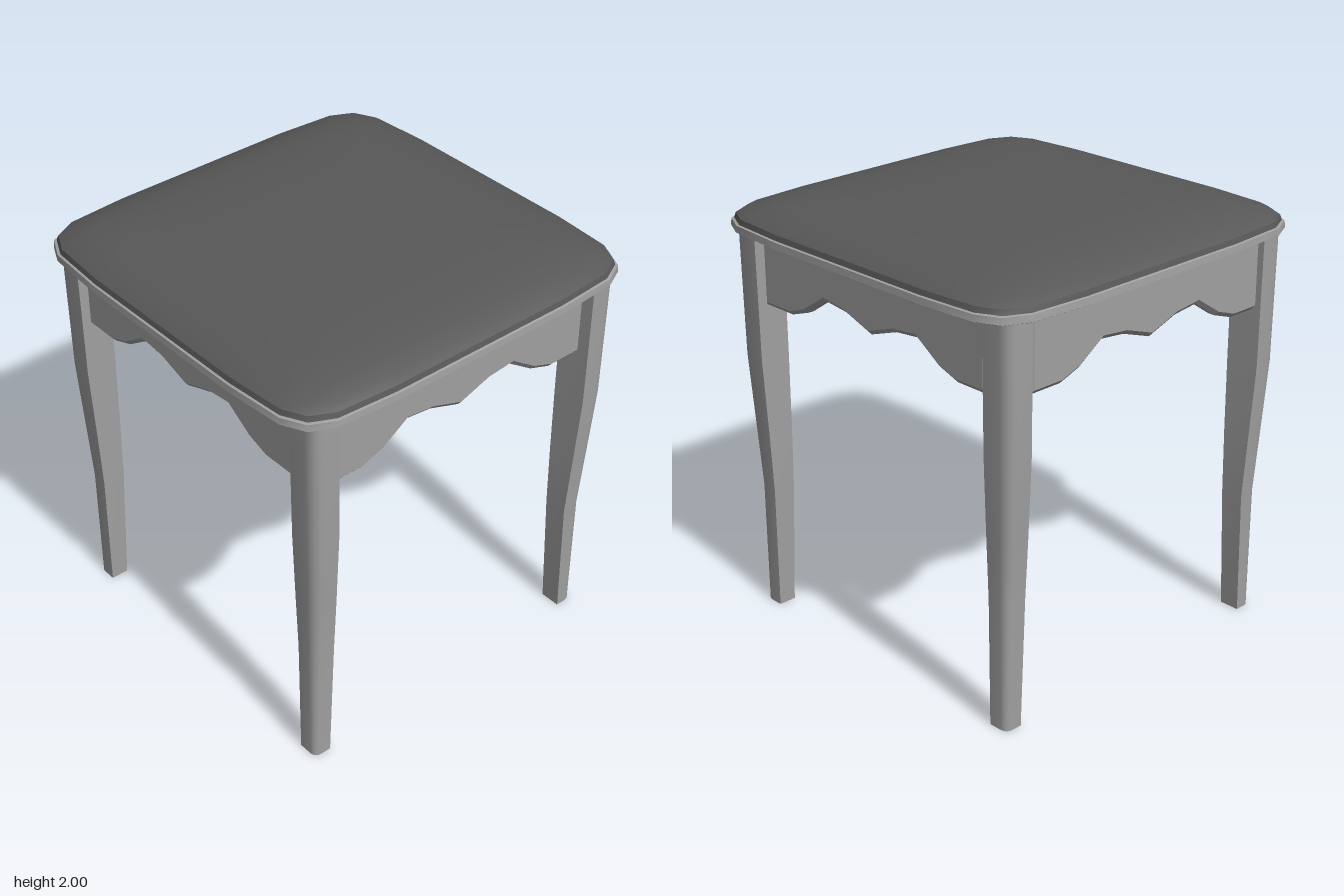
import * as THREE from 'three';
import { toCreasedNormals } from 'three/addons/utils/BufferGeometryUtils.js';

const frameMaterial = new THREE.MeshStandardMaterial({ color: 0xa0a0a0 });
const cushionMaterial = new THREE.MeshStandardMaterial({ color: 0x585858 });

// Closed skin over rings of [x, y, z], stacked upward, counterclockwise from above
function loft(rings, crease) {
  const n = rings[0].length;
  const positions = rings.flat(2);
  const index = [];
  for (let k = 0; k < rings.length - 1; k++) {
    for (let i = 0; i < n; i++) {
      const a = k * n + i, b = k * n + (i + 1) % n;
      index.push(a, b, b + n, a, b + n, a + n);
    }
  }
  const bottom = rings.length * n, top = bottom + 1, last = bottom - n;
  for (const ring of [rings[0], rings.at(-1)]) {
    for (let c = 0; c < 3; c++) positions.push(ring.reduce((s, p) => s + p[c], 0) / n);
  }
  for (let i = 0; i < n; i++) {
    const j = (i + 1) % n;
    index.push(bottom, j, i, top, last + i, last + j);
  }
  const geometry = new THREE.BufferGeometry();
  geometry.setAttribute('position', new THREE.Float32BufferAttribute(positions, 3));
  geometry.setIndex(index);
  return toCreasedNormals(geometry, crease);
}

function add(parent, name, geometry, material = frameMaterial) {
  const mesh = new THREE.Mesh(geometry, material);
  mesh.name = name;
  parent.add(mesh);
  return mesh;
}

// Rounded-square outline scaled through a profile of [scale, height]
function seatGeometry(profile) {
  const corner = [[0.93, -0.46], [0.91, -0.75], [0.857, -0.857], [0.75, -0.91], [0.46, -0.93]];
  const outline = [];
  for (let q = 0; q < 4; q++) {
    for (const [x, z] of corner) {
      outline.push([[x, z], [z, -x], [-x, -z], [-z, x]][q]);
    }
  }
  return loft(profile.map(([s, y]) => outline.map(([x, z]) => [x * s, y, z * s])), 0.65);
}

// Tapered leg: square inside corner, rounded outside corner, inner faces slightly splayed
function legGeometry(sx, sz) {
  // height, inner x, outer x, inner z, outer z, splay
  const sections = [
    [0, 0.715, 0.8, 0.72, 0.818, 0],
    [0.6, 0.693, 0.802, 0.712, 0.822, 0.003],
    [0.9, 0.691, 0.815, 0.708, 0.842, 0.008],
    [1.25, 0.69, 0.831, 0.706, 0.864, 0.014],
    [1.86, 0.69, 0.837, 0.706, 0.868, 0.014],
  ];
  const rings = sections.map(([y, ix, ox, iz, oz, splay]) => {
    const r = 0.38 * (ox - ix);
    const ring = [[ix, y, iz], [ix + splay, y, oz]];
    for (let i = 0; i <= 4; i++) {
      const a = (i / 4) * Math.PI / 2;
      ring.push([ox - r + r * Math.sin(a), y, oz - r + r * Math.cos(a)]);
    }
    ring.push([ox, y, iz + splay]);
    const placed = ring.map(([x, h, z]) => [x * sx, h, z * sz]);
    return sx * sz < 0 ? placed.reverse() : placed;
  });
  return loft(rings, 0.5);
}

// Scalloped board with bevelled edges, centred on its thickness
function apronGeometry() {
  const half = 0.71;
  const scallop = [[half, 1.517], [0.53, 1.517], [0.42, 1.555], [0.29, 1.642], [0.16, 1.628]];
  const shape = new THREE.Shape();
  shape.moveTo(-half, 1.875);
  for (const [x, y] of scallop) shape.lineTo(-x, y);
  shape.lineTo(0, 1.573);
  for (const [x, y] of scallop.slice().reverse()) shape.lineTo(x, y);
  shape.lineTo(half, 1.875);
  shape.closePath();
  const geometry = new THREE.ExtrudeGeometry(shape, {
    depth: 0.03, bevelEnabled: true, bevelSegments: 1,
    bevelThickness: 0.018, bevelSize: 0.02, bevelOffset: -0.02,
  });
  return geometry.translate(0, 0, -0.015);
}

export function createModel() {
  const model = new THREE.Group();
  model.name = 'stool';

  // Seat: pale base rim under a dark padded cushion
  add(model, 'seatRim', seatGeometry([[0.96, 1.848], [1, 1.868], [0.997, 1.898], [0.985, 1.902]]));
  add(model, 'cushion', seatGeometry([[0.988, 1.898], [0.98, 1.925], [0.945, 1.947],
    [0.85, 1.972], [0.72, 1.993], [0.4, 2]]), cushionMaterial);

  // Legs
  for (const [sz, end] of [[1, 'front'], [-1, 'back']]) {
    for (const [sx, side] of [[1, 'Left'], [-1, 'Right']]) {
      add(model, `${end}${side}Leg`, legGeometry(sx, sz));
    }
  }

  // Aprons between the legs
  const board = apronGeometry();
  add(model, 'frontApron', board).position.set(-0.025, 0, 0.805);
  add(model, 'backApron', board).position.set(-0.025, 0, -0.805);
  for (const [sx, side] of [[1, 'left'], [-1, 'right']]) {
    const apron = add(model, `${side}Apron`, board);
    apron.position.x = sx * 0.775;
    apron.rotation.y = sx * Math.PI / 2;
  }
  return model;
}
